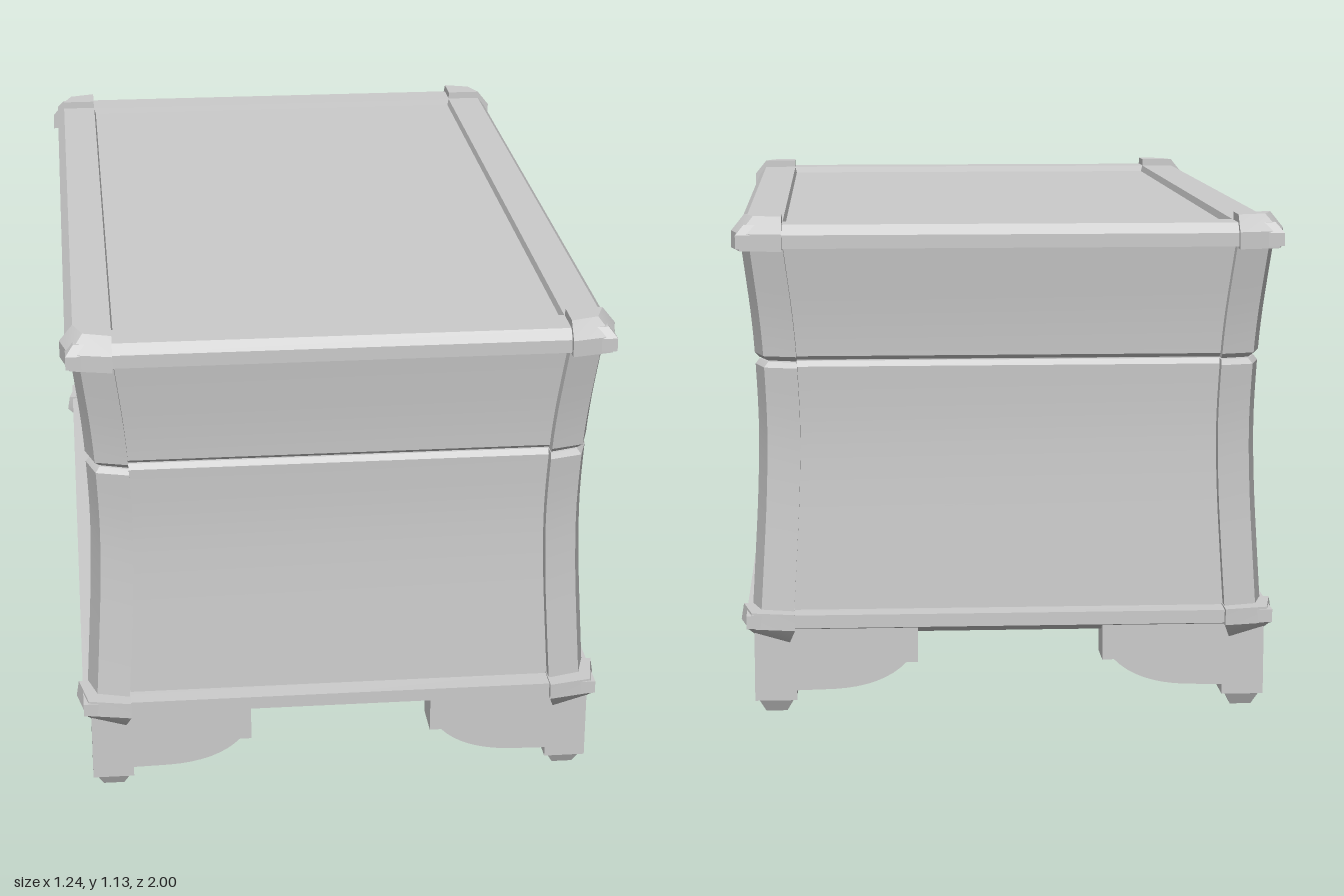
import * as THREE from 'three';
import { toCreasedNormals } from 'three/addons/utils/BufferGeometryUtils.js';

const material = new THREE.MeshStandardMaterial({ color: 0xcccccc });

// Mirror a geometry with signs sx, sz (keeping faces outward) and crease its normals.
function finish(geo, sx = 1, sz = 1) {
  const src = (geo.index ? geo.toNonIndexed() : geo).getAttribute('position');
  const order = sx * sz < 0 ? [0, 2, 1] : [0, 1, 2];
  const pos = [];
  for (let i = 0; i < src.count; i += 3)
    for (const k of order) pos.push(src.getX(i + k) * sx, src.getY(i + k), src.getZ(i + k) * sz);
  const out = new THREE.BufferGeometry();
  out.setAttribute('position', new THREE.Float32BufferAttribute(pos, 3));
  return toCreasedNormals(out, 0.3);
}

// Skin a stack of rings { y, pts: [[x, z], ...] } and close both ends.
function loft(rings) {
  const pos = [];
  const put = (r, j) => pos.push(r.pts[j][0], r.y, r.pts[j][1]);
  const n = rings[0].pts.length;
  for (let i = 0; i < rings.length - 1; i++) {
    const a = rings[i], b = rings[i + 1];
    for (let j = 0; j < n; j++) {
      const k = (j + 1) % n;
      put(a, j); put(a, k); put(b, k);
      put(a, j); put(b, k); put(b, j);
    }
  }
  const lo = rings[0], hi = rings[rings.length - 1];
  for (let j = 1; j < n - 1; j++) {
    put(lo, 0); put(lo, j + 1); put(lo, j);
    put(hi, 0); put(hi, j); put(hi, j + 1);
  }
  const geo = new THREE.BufferGeometry();
  geo.setAttribute('position', new THREE.Float32BufferAttribute(pos, 3));
  return geo;
}

const rect = (y, hx, hz) => ({ y, pts: [[-hx, hz], [hx, hz], [hx, -hz], [-hx, -hz]] });
// Corner section whose outer corner is drawn slightly inward
const corner = (y, X, Z, ix, iz, pull = 0.021) =>
  ({ y, pts: [[ix, Z], [X - pull, Z - pull], [X, iz], [ix, iz]] });

// Concave flare of the sides
const FLARE = [[0.2, 0.02], [0.35, 0.011], [0.5, 0.003], [0.65, 0], [0.8, 0.006], [0.9, 0.014], [1.0, 0.026], [1.07, 0.035]];
const flareCurve = new THREE.SplineCurve(FLARE.map(([y, d]) => new THREE.Vector2(y, d)));
const flareSamples = flareCurve.getPoints(70);
function flare(y) {
  for (let i = 1; i < flareSamples.length; i++) {
    const a = flareSamples[i - 1], b = flareSamples[i];
    if (y <= b.x) return a.y + (b.y - a.y) * (y - a.x) / (b.x - a.x);
  }
  return 0.035;
}
const span = (y0, y1, n) => Array.from({ length: n + 1 }, (_, i) => y0 + (y1 - y0) * i / n);
const panel = (y, inset = 0) => rect(y, 0.537 + flare(y) - inset, 0.915 + flare(y) - inset);
const post = (y, inset = 0) => {
  const X = 0.567 + flare(y), Z = 0.944 + flare(y);
  return corner(y, X - inset, Z - inset, X - 0.095, Z - 0.09);
};

function footShape(end, toe) {
  const s = new THREE.Shape();
  s.moveTo(end, 0.2);
  s.lineTo(end - 0.37, 0.2);
  s.lineTo(end - 0.37, 0.115);
  s.lineTo(end - 0.343, 0.115);
  s.quadraticCurveTo(end - 0.29, 0.06, end - 0.18, 0.055);
  s.lineTo(end - toe, 0.053);
  s.lineTo(end - toe, 0.03);
  s.lineTo(end, 0.03);
  return s;
}

// Extrude a shape drawn in (z, y) so its thickness runs toward -x
const sideways = (shape, depth) =>
  new THREE.ExtrudeGeometry(shape, { depth, bevelEnabled: false, curveSegments: 10 }).rotateY(-Math.PI / 2);

function barrel(r, half) {
  const pts = [[0, -half], [r * 0.4, -half], [r, -half * 0.65], [r, half * 0.65], [r * 0.4, half], [0, half]];
  return new THREE.LatheGeometry(pts.map(p => new THREE.Vector2(...p)), 14).rotateX(Math.PI / 2);
}

function symmetricShape(half) {
  const pts = half.concat(half.slice(1, -1).reverse().map(([z, y]) => [-z, y]));
  return new THREE.Shape(pts.map(p => new THREE.Vector2(...p)));
}

export function createModel() {
  const root = new THREE.Group();
  root.name = 'chest';
  const add = (name, geo, sx, sz) => {
    const mesh = new THREE.Mesh(finish(geo, sx, sz), material);
    mesh.name = name;
    root.add(mesh);
  };

  // Box and lid, with a bevelled seam between them
  add('base', loft([...span(0.2, 0.788, 14).map(y => panel(y)), panel(0.8, 0.01)]));
  add('seam', loft([panel(0.78, 0.02), panel(0.83, 0.02)]));
  add('lid', loft([panel(0.803, 0.01), ...span(0.812, 1.07, 8).map(y => panel(y))]));

  // Rails round the bottom and the top
  add('bottomRail', loft([rect(0.18, 0.56, 0.94), rect(0.19, 0.575, 0.955), rect(0.2, 0.597, 0.982),
    rect(0.23, 0.597, 0.982), rect(0.232, 0.54, 0.92)]));
  add('topRail', loft([rect(1.055, 0.56, 0.93), rect(1.06, 0.61, 0.985), rect(1.09, 0.61, 0.985),
    rect(1.112, 0.592, 0.967), rect(1.112, 0.507, 0.885), rect(1.096, 0.503, 0.881)]));

  // Corner parts, mirrored to all four corners
  const basePost = loft([...span(0.21, 0.788, 14).map(y => post(y)), post(0.8, 0.01)]);
  const lidPost = loft([post(0.803, 0.01), ...span(0.814, 1.07, 8).map(y => post(y))]);
  const bottomCap = loft([corner(0.165, 0.582, 0.97, 0.5, 0.885), corner(0.198, 0.612, 0.998, 0.488, 0.875),
    corner(0.235, 0.606, 0.998, 0.488, 0.875)]);
  const topCap = loft([corner(1.055, 0.622, 1.0, 0.508, 0.89), corner(1.093, 0.622, 1.0, 0.508, 0.89),
    corner(1.13, 0.592, 0.968, 0.508, 0.89)]);
  const footAcross = new THREE.ExtrudeGeometry(footShape(0.58, 0.095), { depth: 0.09, bevelEnabled: false, curveSegments: 8 })
    .translate(0, 0, 0.88);
  const footAlong = sideways(footShape(0.97, 0.095), 0.09).translate(0.58, 0, 0);
  const square = (y, h) => ({ y, pts: rect(y, h, h).pts.map(([x, z]) => [x + 0.532, z + 0.922]) });
  const toe = loft([square(0, 0.024), square(0.031, 0.04)]);
  for (const sx of [1, -1]) for (const sz of [1, -1]) {
    add('basePost', basePost, sx, sz);
    add('lidPost', lidPost, sx, sz);
    add('bottomCap', bottomCap, sx, sz);
    add('topCap', topCap, sx, sz);
    add('footAcross', footAcross, sx, sz);
    add('footAlong', footAlong, sx, sz);
    add('footToe', toe, sx, sz);
  }

  // Two hinges on one long side
  for (const z of [0.495, -0.515]) add('hinge', barrel(0.033, 0.096).translate(0.543, 0.803, z));

  // Clasp on the other long side: lid plate, pin and hanging hasp
  const plate = symmetricShape([[0, 0.075], [0.03, 0.07], [0.04, 0.045], [0.07, 0.035], [0.085, 0.005],
    [0.06, -0.03], [0.05, -0.06], [0, -0.06]]);
  add('claspPlate', sideways(plate, 0.03).rotateZ(0.12).translate(-0.538, 0.885, 0));
  add('claspPin', barrel(0.032, 0.085).translate(-0.578, 0.86, 0));
  const hasp = symmetricShape([[0, 0.1], [0.06, 0.1], [0.1, 0.08], [0.11, 0.04], [0.085, 0.01],
    [0.085, -0.04], [0.065, -0.09], [0.035, -0.112], [0, -0.115]]);
  hasp.holes.push(new THREE.Path().absellipse(0, 0.02, 0.058, 0.05, 0, Math.PI * 2, true));
  hasp.holes.push(new THREE.Path().absellipse(0, -0.07, 0.018, 0.022, 0, Math.PI * 2, true));
  add('hasp', sideways(hasp, 0.014).rotateZ(0.19).translate(-0.579, 0.768, 0));

  return root;
}
